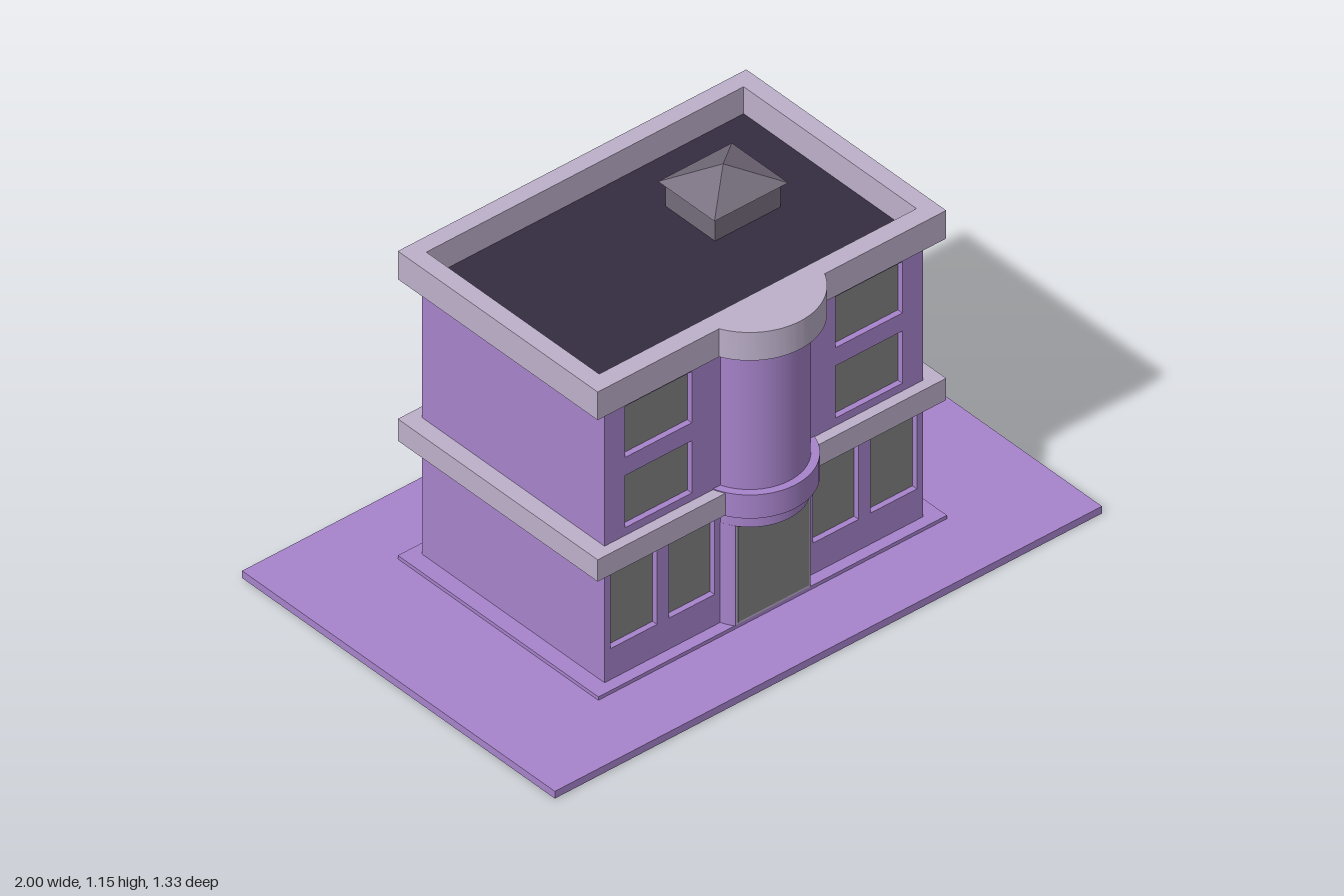
import * as THREE from 'three';
import { toCreasedNormals } from 'three/addons/utils/BufferGeometryUtils.js';

const mat = (name, color) => {
  const m = new THREE.MeshStandardMaterial({ color });
  m.name = name;
  return m;
};

export function createModel() {
  const purple = mat('purple wall', 0xa783cb);
  const trim = mat('pale trim', 0xbdb0ca);
  const glass = mat('grey glass', 0x828282);
  const deck = mat('dark roof', 0x352c40);
  const hutGrey = mat('hut grey', 0x746c7b);

  const model = new THREE.Group();
  model.name = 'building';

  const add = (name, geometry, material, x = 0, y = 0, z = 0) => {
    const mesh = new THREE.Mesh(geometry, material);
    mesh.name = name;
    mesh.position.set(x, y, z);
    model.add(mesh);
    return mesh;
  };
  // Box given by its limits on each axis
  const box = (name, material, x0, x1, y0, y1, z0, z1) =>
    add(name, new THREE.BoxGeometry(x1 - x0, y1 - y0, z1 - z0), material,
      (x0 + x1) / 2, (y0 + y1) / 2, (z0 + z1) / 2);
  // Floor-plan shape (x, z) raised from y0 to y1
  const raise = (name, material, shape, y0, y1) => {
    const g = new THREE.ExtrudeGeometry(shape, { depth: y1 - y0, bevelEnabled: false, curveSegments: 32 });
    g.rotateX(Math.PI / 2);
    return add(name, toCreasedNormals(g, 0.5), material, 0, y1, 0);
  };
  const rectPath = (x0, x1, y0, y1) => {
    const p = new THREE.Path();
    p.moveTo(x0, y0);
    p.lineTo(x0, y1);
    p.lineTo(x1, y1);
    p.lineTo(x1, y0);
    p.closePath();
    return p;
  };

  // Ground slab and plinth
  box('groundSlab', purple, -1, 1, 0, 0.025, -0.665, 0.665);
  box('plinth', purple, -0.637, 0.637, 0.025, 0.037, -0.425, 0.428);

  // Main body behind the front wall
  box('body', purple, -0.582, 0.582, 0.037, 1.0, -0.387, 0.366);

  // Front wall with recessed windows
  const openings = [];
  for (const side of [-1, 1]) {
    for (const [a, b, y0, y1] of [
      [0.263, 0.507, 0.785, 0.963],
      [0.263, 0.507, 0.54, 0.722],
      [0.18, 0.347, 0.145, 0.402],
      [0.39, 0.56, 0.145, 0.402],
    ]) openings.push(side > 0 ? [a, b, y0, y1] : [-b, -a, y0, y1]);
  }
  const wall = new THREE.Shape([
    new THREE.Vector2(-0.582, 0.037), new THREE.Vector2(0.582, 0.037),
    new THREE.Vector2(0.582, 1.0), new THREE.Vector2(-0.582, 1.0),
  ]);
  for (const o of openings) {
    wall.holes.push(rectPath(...o));
    box('windowPane', glass, ...o, 0.365, 0.371);
  }
  add('frontWall', new THREE.ExtrudeGeometry(wall, { depth: 0.024, bevelEnabled: false }), purple, 0, 0, 0.366);

  // Rounded bay above the entrance, with its own band
  const bayZ = 0.33;
  add('bay', new THREE.CylinderGeometry(0.17, 0.17, 0.615, 64), purple, 0, 0.6925, bayZ);
  add('bayBand', new THREE.CylinderGeometry(0.195, 0.195, 0.082, 64), purple, 0, 0.475, bayZ);

  // Entrance: the bay's curve cut flat at the door
  const a0 = Math.asin(0.02 / 0.17), a1 = Math.asin(0.1 / 0.17);
  const porch = new THREE.Shape();
  porch.absarc(0, bayZ, 0.17, a0, a1, false);
  porch.absarc(0, bayZ, 0.17, Math.PI - a1, Math.PI - a0, false);
  porch.closePath();
  raise('entrance', purple, porch, 0.037, 0.386);
  box('doorFrame', trim, -0.136, 0.136, 0.04, 0.385, 0.427, 0.431);
  box('door', glass, -0.13, 0.13, 0.048, 0.382, 0.429, 0.433);

  // Middle band around the building
  box('middleBand', trim, -0.637, 0.637, 0.437, 0.513, -0.425, 0.425);

  // Parapet with a round lobe over the bay
  const lobeR = 0.215, lobeA = Math.asin((0.425 - bayZ) / lobeR);
  const parapet = new THREE.Shape();
  parapet.moveTo(-0.637, -0.425);
  parapet.lineTo(0.637, -0.425);
  parapet.lineTo(0.637, 0.425);
  parapet.absarc(0, bayZ, lobeR, lobeA, Math.PI - lobeA, false);
  parapet.lineTo(-0.637, 0.425);
  parapet.closePath();
  parapet.holes.push(rectPath(-0.58, 0.58, -0.37, 0.365));
  raise('parapet', trim, parapet, 1.0, 1.098);

  // Roof deck
  box('roofDeck', deck, -0.58, 0.58, 1.0, 1.004, -0.37, 0.365);

  // Roof hut with a pyramid cap
  box('roofHut', hutGrey, 0.14, 0.38, 1.004, 1.09, -0.19, 0.02);
  let cap = new THREE.ConeGeometry(Math.SQRT1_2, 0.064, 4);
  cap.rotateY(Math.PI / 4);
  cap.scale(0.27, 1, 0.24);
  cap = cap.toNonIndexed();
  cap.computeVertexNormals();
  add('hutRoof', cap, hutGrey, 0.26, 1.121, -0.085);

  return model;
}
